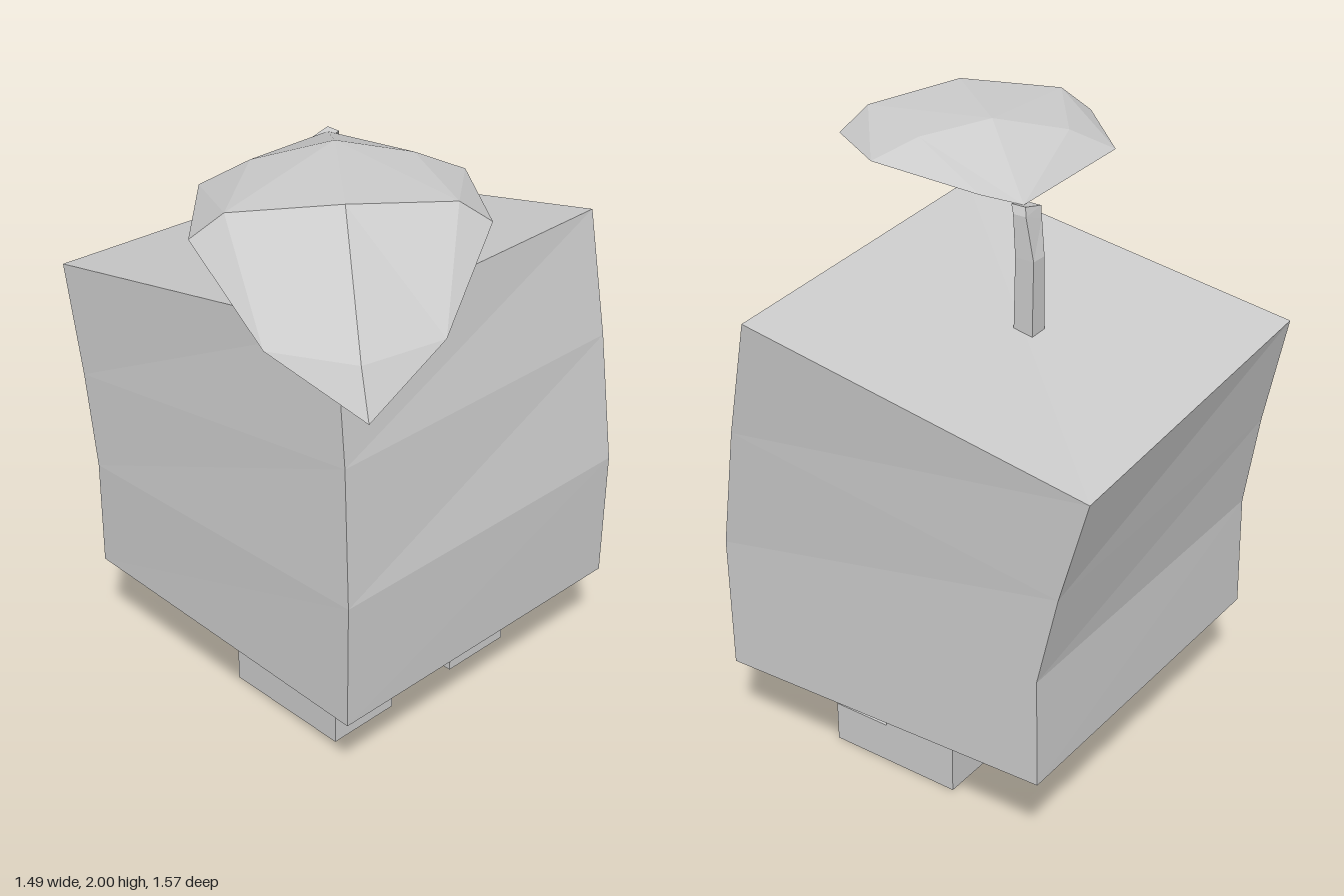
import * as THREE from 'three';

const material = new THREE.MeshStandardMaterial({ color: 0xcccccc, flatShading: true, side: THREE.DoubleSide });

function makeMesh(name, triangles) {
  const geometry = new THREE.BufferGeometry();
  geometry.setAttribute('position', new THREE.Float32BufferAttribute(triangles.flat(2), 3));
  geometry.computeVertexNormals();
  const mesh = new THREE.Mesh(geometry, material);
  mesh.name = name;
  return mesh;
}

// Joins four-cornered rings (front left, front right, back right, back left), bottom to top
function loft(name, rings) {
  const triangles = [];
  const quad = (a, b, c, d) => triangles.push([a, b, c], [a, c, d]);
  for (let i = 0; i < rings.length - 1; i++) {
    for (let j = 0; j < 4; j++) {
      const k = (j + 1) % 4;
      quad(rings[i][j], rings[i][k], rings[i + 1][k], rings[i + 1][j]);
    }
  }
  quad(...rings[0].slice().reverse());
  quad(...rings[rings.length - 1]);
  return makeMesh(name, triangles);
}

// L-shaped leg and foot, cut from one side profile
function makeLeg(name, x) {
  const shape = new THREE.Shape();
  [[-0.29, 0], [0.18, 0], [0.18, 0.37], [-0.085, 0.37], [-0.085, 0.14], [-0.29, 0.14]]
    .forEach(([u, v], i) => (i ? shape.lineTo(u, v) : shape.moveTo(u, v)));
  const width = 0.263;
  const geometry = new THREE.ExtrudeGeometry(shape, { depth: width, bevelEnabled: false });
  geometry.rotateY(Math.PI / 2).translate(x - width / 2, 0, 0);
  const mesh = new THREE.Mesh(geometry, material);
  mesh.name = name;
  return mesh;
}

// Drooping faceted leaf: ridged top and a shallow underside sharing one rim
function makeLeaf() {
  const p = {
    neck: [0.11, 1.87, -0.17], back: [-0.43, 1.87, -0.14], backRight: [-0.69, 1.87, 0.12],
    right: [-0.748, 1.69, 0.48], tip: [-0.66, 1.56, 0.785], front: [-0.34, 1.68, 0.755],
    frontLeft: [-0.03, 1.88, 0.63], left: [0.15, 1.9, 0.36], neckLeft: [0.12, 1.87, -0.02],
    crown: [-0.41, 1.99, 0.44], spine: [-0.14, 2, 0.12], ridgeLeft: [0.03, 1.96, 0.27],
    ridgeBack: [-0.32, 1.945, -0.04], ridgeRight: [-0.62, 1.95, 0.19],
    ridgeFront: [-0.12, 1.955, 0.585], tipTop: [-0.62, 1.69, 0.715], under: [-0.33, 1.84, 0.38],
  };
  const top = [
    'neck ridgeLeft spine', 'neck spine ridgeBack', 'neck ridgeBack back', 'neck neckLeft ridgeLeft',
    'neckLeft left ridgeLeft', 'back ridgeBack ridgeRight', 'back ridgeRight backRight',
    'ridgeBack spine ridgeRight', 'spine crown ridgeRight', 'spine ridgeLeft ridgeFront',
    'spine ridgeFront crown', 'ridgeLeft left ridgeFront', 'left frontLeft ridgeFront',
    'ridgeRight crown right', 'backRight ridgeRight right', 'right crown tipTop', 'right tipTop tip',
    'tipTop crown front', 'crown ridgeFront front', 'ridgeFront frontLeft front', 'tipTop front tip',
  ].map((names) => names.split(' ').map((n) => p[n]));
  const rim = ['neck', 'back', 'backRight', 'right', 'tip', 'front', 'frontLeft', 'left', 'neckLeft'];
  const bottom = rim.map((n, i) => [p.under, p[n], p[rim[(i + 1) % rim.length]]]);

  // Turn each triangle to face up or down
  const face = ([a, b, c], up) => {
    const ny = (b[2] - a[2]) * (c[0] - a[0]) - (b[0] - a[0]) * (c[2] - a[2]);
    return ny > 0 === up ? [a, b, c] : [a, c, b];
  };
  return makeMesh('leaf', [...top.map((t) => face(t, true)), ...bottom.map((t) => face(t, false))]);
}

export function createModel() {
  const group = new THREE.Group();
  group.name = 'blockCreature';

  // Body: leaning, slightly twisted block
  group.add(loft('body', [
    [[-0.505, 0.335, 0.55], [0.7, 0.322, 0.54], [0.695, 0.36, -0.635], [-0.5, 0.36, -0.63]],
    [[-0.505, 0.77, 0.553], [0.695, 0.77, 0.548], [0.69, 0.72, -0.625], [-0.505, 0.74, -0.62]],
    [[-0.478, 1.22, 0.51], [0.715, 1.19, 0.47], [0.685, 1.02, -0.69], [-0.5, 1.06, -0.67]],
    [[-0.45, 1.627, 0.445], [0.742, 1.588, 0.37], [0.69, 1.36, -0.788], [-0.495, 1.427, -0.745]],
  ]));

  // Legs with feet
  group.add(makeLeg('rightLeg', -0.173), makeLeg('leftLeg', 0.37));

  // Stem: square tube bending into the leaf
  const ring = (x0, x1, y, z0, z1, rise = 0) =>
    [[x0, y, z1], [x1, y + rise, z1], [x1, y + rise, z0], [x0, y, z0]];
  group.add(loft('stem', [
    ring(0.088, 0.152, 1.46, -0.232, -0.165),
    ring(0.092, 0.148, 1.72, -0.232, -0.167),
    ring(0.06, 0.142, 1.82, -0.2, -0.155, 0.03),
    ring(0.05, 0.13, 1.855, -0.19, -0.14, 0.02),
  ]));

  group.add(makeLeaf());
  return group;
}
